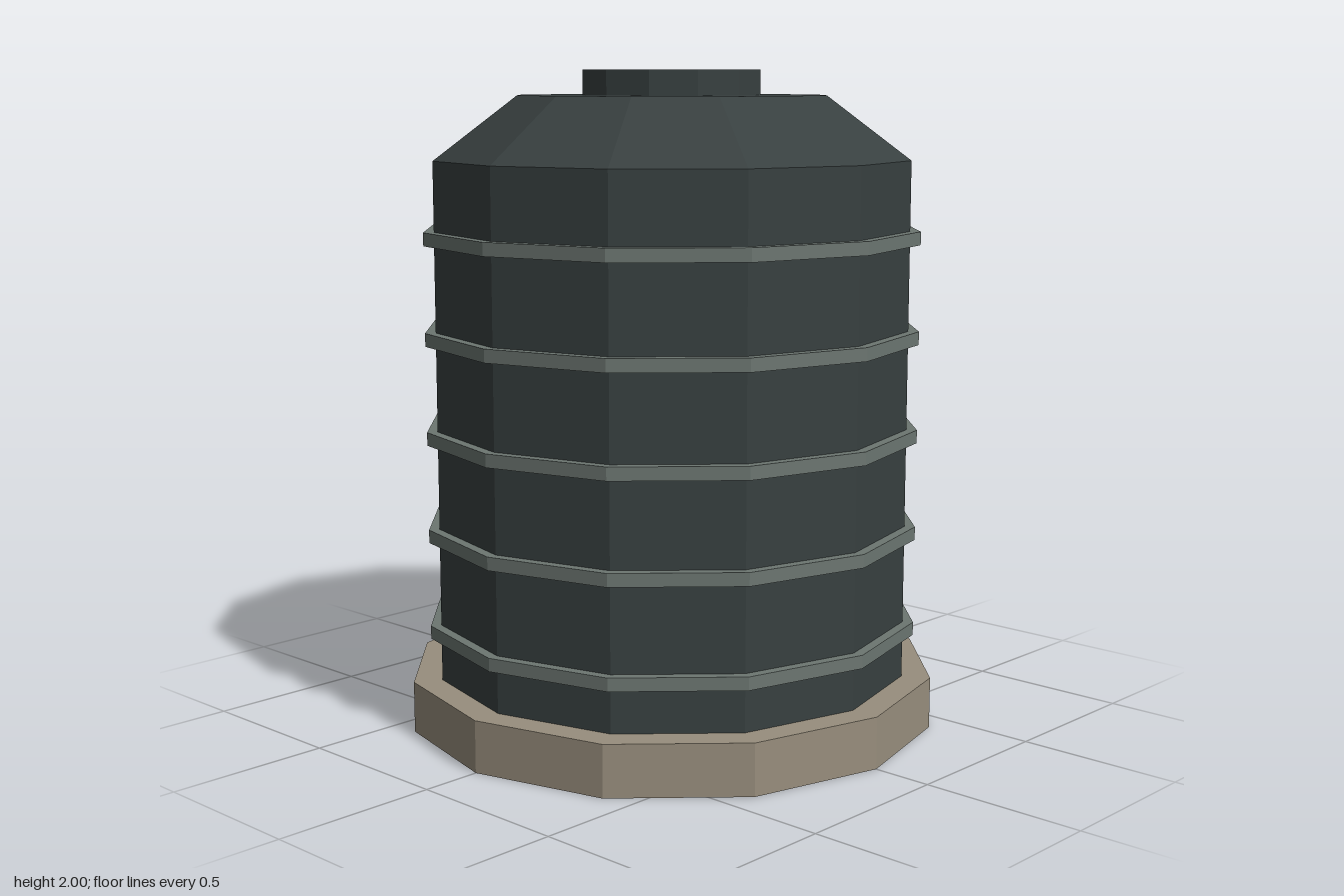
import * as THREE from 'three';

const SIDES = 12;

function paint(name, hex) {
  const m = new THREE.MeshStandardMaterial({ color: hex });
  m.name = name;
  return m;
}

export function createModel() {
  const tank = new THREE.Group();
  tank.name = 'waterTank';

  const darkShell = paint('dark slate', 0x384040);
  const ribGrey = paint('rib grey', 0x6c7671);
  const stone = paint('stone', 0x988e7d);

  // Twelve-sided drum between two heights
  function drum(name, rTop, rBottom, y0, y1, material, open = false) {
    const geo = new THREE.CylinderGeometry(rTop, rBottom, y1 - y0, SIDES, 1, open).toNonIndexed();
    geo.computeVertexNormals();
    const mesh = new THREE.Mesh(geo, material);
    mesh.name = name;
    mesh.position.y = (y0 + y1) / 2;
    tank.add(mesh);
  }

  // Plinth, wall, sloped shoulder and lid
  drum('base', 0.818, 0.818, 0, 0.157, stone);
  drum('wall', 0.73, 0.73, 0.157, 1.735, darkShell, true);
  drum('shoulder', 0.475, 0.73, 1.735, 1.925, darkShell);
  drum('lid', 0.275, 0.275, 1.925, 2, darkShell);

  // Five reinforcing ribs, evenly spaced
  for (let i = 0; i < 5; i++) {
    const y = 0.31 + i * 0.299;
    drum(`rib${i + 1}`, 0.762, 0.762, y - 0.02, y + 0.02, ribGrey);
  }

  return tank;
}
